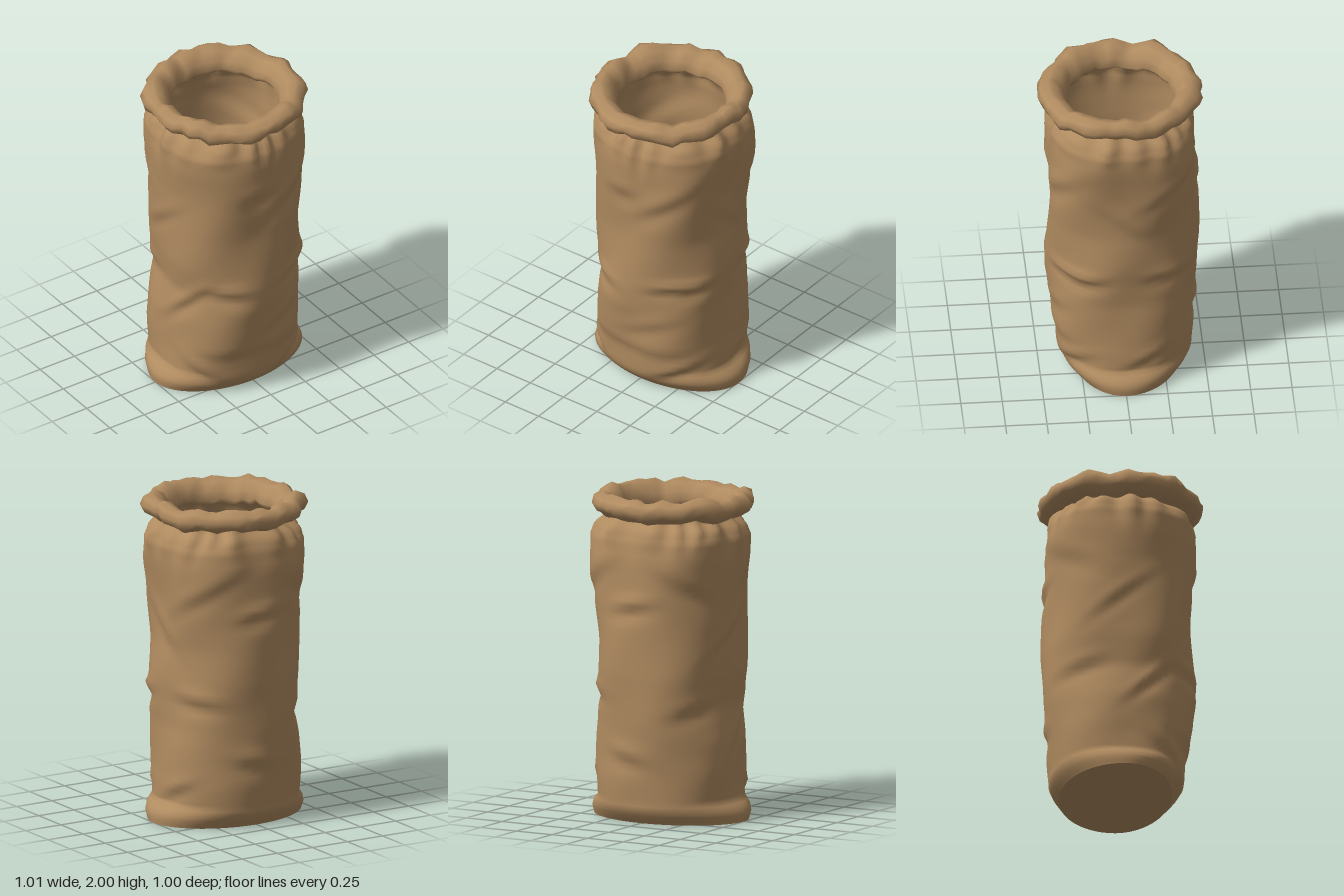
import * as THREE from 'three';

// Body outline by height: y, left half-width, right half-width, front depth, back depth, squareness
const profile = [
  [0.00, 0.50, 0.505, 0.31, 0.37, 2], [0.05, 0.505, 0.51, 0.36, 0.41, 2], [0.09, 0.485, 0.49, 0.38, 0.43, 2.05],
  [0.13, 0.44, 0.44, 0.385, 0.43, 2.25], [0.25, 0.435, 0.44, 0.39, 0.44, 2.35], [0.32, 0.435, 0.435, 0.415, 0.445, 2.35],
  [0.50, 0.43, 0.43, 0.43, 0.455, 2.25], [0.60, 0.415, 0.425, 0.445, 0.465, 2.15], [0.70, 0.40, 0.43, 0.45, 0.47, 2.1],
  [0.90, 0.425, 0.435, 0.44, 0.475, 2.15], [1.10, 0.425, 0.42, 0.43, 0.465, 2.3], [1.40, 0.43, 0.44, 0.435, 0.455, 2.5],
  [1.60, 0.45, 0.46, 0.44, 0.46, 2.55], [1.72, 0.45, 0.46, 0.435, 0.445, 2.5], [1.79, 0.425, 0.435, 0.41, 0.42, 2.3],
  [1.84, 0.375, 0.38, 0.37, 0.37, 2], [1.92, 0.36, 0.36, 0.36, 0.36, 2],
];

// Cloth folds: angle from the front, height, half-length, half-thickness, slant, depth
const folds = [
  [0.65, 0.77, 0.15, 0.04, 0.1, 0.035], [-0.5, 0.73, 0.13, 0.045, -0.1, 0.03],
  [0.5, 1.38, 0.18, 0.08, 0.6, 0.022], [-0.1, 1.42, 0.1, 0.07, 0, 0.02],
  [-0.95, 0.17, 0.12, 0.05, -0.5, 0.025], [0.75, 0.16, 0.15, 0.05, 0.3, 0.025],
  [0.3, 0.47, 0.18, 0.06, 0.3, 0.015], [-1.2, 0.62, 0.15, 0.06, 0.8, 0.025],
  [1.0, 0.76, 0.13, 0.05, 0.2, 0.03], [2.2, 0.78, 0.15, 0.05, -0.1, 0.03],
  [1.9, 0.22, 0.13, 0.05, 0.4, 0.018], [3.1, 1.32, 0.13, 0.05, 0.1, 0.03],
  [3.0, 0.4, 0.13, 0.06, -0.2, 0.025], [-2.3, 0.7, 0.16, 0.06, 0.2, 0.022],
  [-1.7, 1.15, 0.18, 0.06, 0.7, 0.015], [1.55, 1.2, 0.16, 0.07, -0.8, 0.015],
  [-2.4, 1.45, 0.2, 0.07, -0.5, 0.016], [2.3, 1.45, 0.2, 0.07, 0.6, 0.016],
];

function outline(y) {
  let k = 1;
  while (k < profile.length - 1 && profile[k][0] < y) k++;
  const [a, b] = [profile[k - 1], profile[k]];
  const t = (y - a[0]) / (b[0] - a[0]);
  return a.map((v, i) => v + (b[i] - v) * t);
}

function bodyPoint(angle, y) {
  const s = Math.sin(angle), c = Math.cos(angle);
  const [, left, right, front, back, n] = outline(y);
  const across = Math.abs(s) / (s < 0 ? left : right), along = Math.abs(c) / (c > 0 ? front : back);
  let r = (across ** n + along ** n) ** (-1 / n);
  // Broad unevenness, calm at the foot and neck
  const calm = Math.min(1, y / 0.3) * THREE.MathUtils.clamp((1.85 - y) / 0.2, 0, 1);
  r += calm * 0.006 * (Math.sin(3 * angle + 5 * y) + Math.sin(5 * angle - 7 * y + 1));
  for (const [fa, fy, len, thick, slant, depth] of folds) {
    const d = angle - fa;
    const u = Math.atan2(Math.sin(d), Math.cos(d)) * 0.44;
    const v = (y - fy - slant * u) / thick;
    r += 1.3 * depth * v * Math.exp(-v * v - (u / len) ** 2);
  }
  // Gathers of uneven length pulled in under the rim
  const reach = y > 1.81 ? 0.06 : 0.1 + 0.04 * Math.sin(4 * angle + 1) + 0.02 * Math.sin(7 * angle);
  const gather = Math.exp(-(((y - 1.81) / reach) ** 2));
  const pleat = Math.sin(16 * angle + 1.8 * Math.sin(3 * angle) + Math.sin(5 * angle));
  r += gather * 0.02 * (pleat + 0.5 * Math.sin(9 * angle + 2));
  return [r * s, y, r * c];
}

// Smooth skin over closed rings; the last ring can join the first
function skin(rings, count, joinEnds, point) {
  const pos = [], index = [];
  for (let i = 0; i < rings; i++)
    for (let j = 0; j < count; j++) pos.push(...point(i, (j / count) * Math.PI * 2, j));
  for (let i = 0; i < (joinEnds ? rings : rings - 1); i++) {
    const n = (i + 1) % rings;
    for (let j = 0; j < count; j++) {
      const k = (j + 1) % count;
      const a = i * count + j, b = i * count + k, c = n * count + k, d = n * count + j;
      index.push(a, b, c, a, c, d);
    }
  }
  const g = new THREE.BufferGeometry();
  g.setAttribute('position', new THREE.Float32BufferAttribute(pos, 3));
  g.setIndex(index);
  g.computeVertexNormals();
  return g;
}

export function createModel() {
  const group = new THREE.Group();
  const cloth = new THREE.MeshStandardMaterial({ color: 0xb08b60, side: THREE.DoubleSide });
  cloth.name = 'tan cloth';
  const add = (name, geometry) => {
    const mesh = new THREE.Mesh(geometry, cloth);
    mesh.name = name;
    group.add(mesh);
  };

  // Crumpled open tube, with closer rings at the foot and neck
  const heights = [0, 0.02, 0.05, 0.07, 0.09, 0.11, 0.13, 0.15];
  for (let y = 0.18; y < 1.6; y += 0.035) heights.push(y);
  for (let y = 1.62; y < 1.9; y += 0.02) heights.push(y);
  add('sackBody', skin(heights.length, 112, false, (i, a) => bodyPoint(a, heights[i])));

  // Flat base
  const base = new THREE.Shape();
  for (let j = 0; j < 112; j++) {
    const [x, , z] = bodyPoint((j / 112) * Math.PI * 2, 0);
    j ? base.lineTo(x, z) : base.moveTo(x, z);
  }
  add('sackBase', new THREE.ShapeGeometry(base).rotateX(Math.PI / 2));

  // Rolled rim: bunched unevenly, its inner side sloping down into the mouth
  let seed = 7;
  const random = () => (seed = (seed * 16807) % 2147483647) / 2147483647 - 0.5;
  const lumps = Array.from({ length: 48 }, () => [random(), random(), random()]);
  add('rolledRim', skin(10, 48, true, (i, a, j) => {
    const t = (i / 10) * Math.PI * 2, [p, q, w] = lumps[j];
    const outward = Math.max(0, Math.cos(t)), inward = Math.max(0, -Math.cos(t));
    const bunch = Math.sin(12 * a + 1.5 * Math.sin(2 * a) + 1.6 * Math.sin(t)) * (1 - 0.8 * inward);
    const thick = 0.077 + 0.009 * bunch + 0.014 * p * (1 - inward);
    const r = 0.402 + thick * Math.cos(t) + outward * (0.022 * q + 0.016 * Math.abs(Math.cos(a)));
    const y = 1.913 + 0.007 * Math.sin(5 * a + 1) + 0.016 * w + (thick - 0.01) * Math.sin(t)
      - 0.055 * inward + 0.014 * random();
    return [r * Math.sin(a), Math.min(y, 2), r * Math.cos(a)];
  }));

  return group;
}
